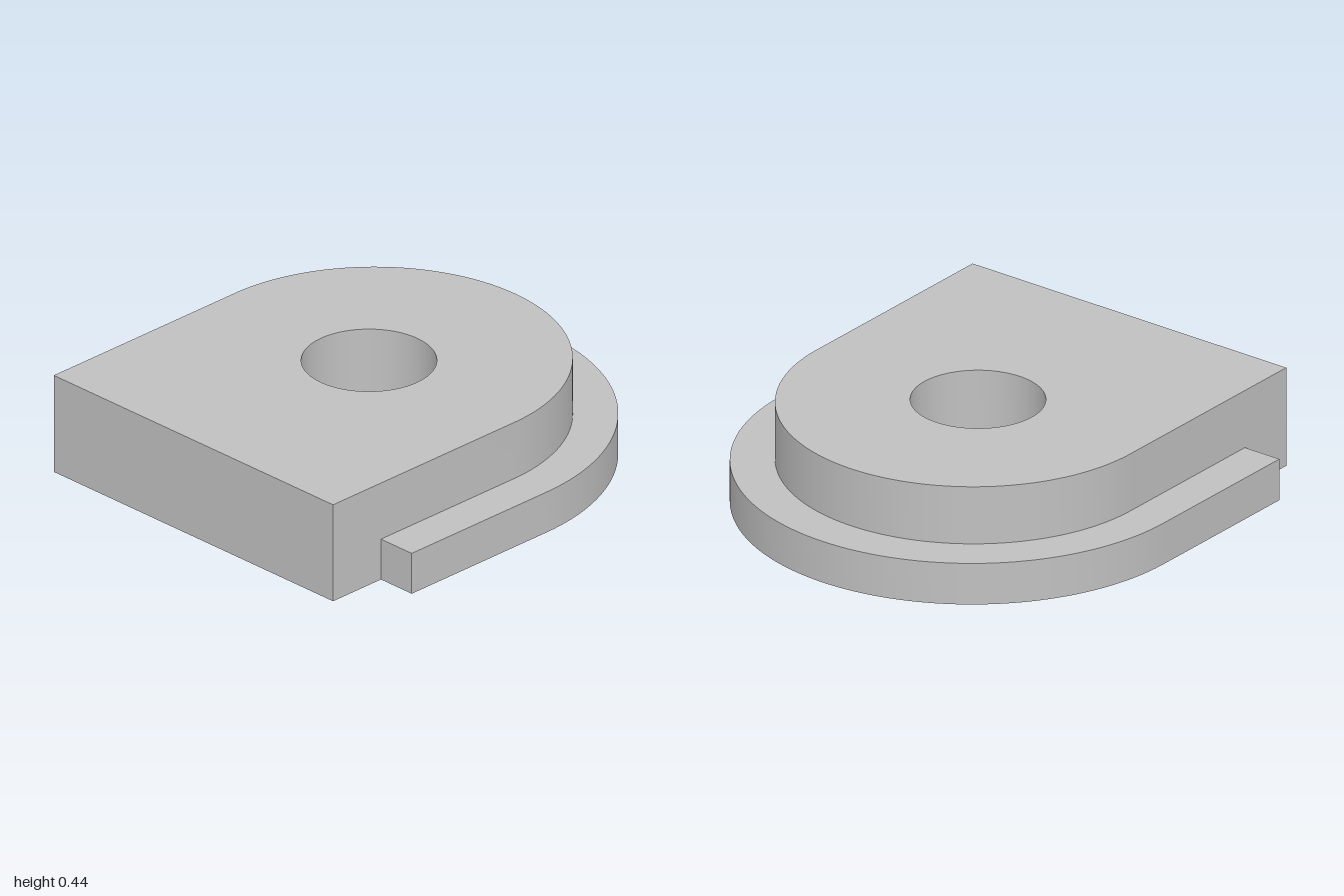
import * as THREE from 'three';
import { toCreasedNormals } from 'three/addons/utils/BufferGeometryUtils.js';

const grey = new THREE.MeshStandardMaterial({ color: 0xc0c0c0 });
grey.name = 'plain grey';

// Extrudes a plan outline upwards from y = 0, with smooth curved walls.
function plate(name, shape, height) {
  const geometry = new THREE.ExtrudeGeometry(shape, {
    depth: height, bevelEnabled: false, curveSegments: 64,
  });
  geometry.rotateX(-Math.PI / 2);
  const mesh = new THREE.Mesh(toCreasedNormals(geometry, Math.PI / 6), grey);
  mesh.name = name;
  return mesh;
}

export function createModel() {
  const model = new THREE.Group();
  model.name = 'steppedBlock';

  const bodyRadius = 0.795, bodyCentre = 0.02;
  const flangeRadius = 0.97, flangeCentre = 0.03, flangeEnd = -0.73;

  // Main block: square at one end, round at the other, with a through hole
  const body = new THREE.Shape();
  body.moveTo(-1, -bodyRadius);
  body.lineTo(bodyCentre, -bodyRadius);
  body.absarc(bodyCentre, 0, bodyRadius, -Math.PI / 2, Math.PI / 2, false);
  body.lineTo(-1, bodyRadius);
  body.closePath();
  const hole = new THREE.Path();
  hole.absarc(-0.01, 0, 0.272, 0, Math.PI * 2, true);
  body.holes.push(hole);
  model.add(plate('body', body, 0.435));

  // U-shaped step wrapped around the foot of the block
  const flange = new THREE.Shape();
  flange.moveTo(flangeEnd, -flangeRadius);
  flange.lineTo(flangeCentre, -flangeRadius);
  flange.absarc(flangeCentre, 0, flangeRadius, -Math.PI / 2, Math.PI / 2, false);
  flange.lineTo(flangeEnd, flangeRadius);
  flange.lineTo(flangeEnd, bodyRadius);
  flange.lineTo(bodyCentre, bodyRadius);
  flange.absarc(bodyCentre, 0, bodyRadius, Math.PI / 2, -Math.PI / 2, true);
  flange.lineTo(flangeEnd, -bodyRadius);
  flange.closePath();
  model.add(plate('flange', flange, 0.182));

  return model;
}
